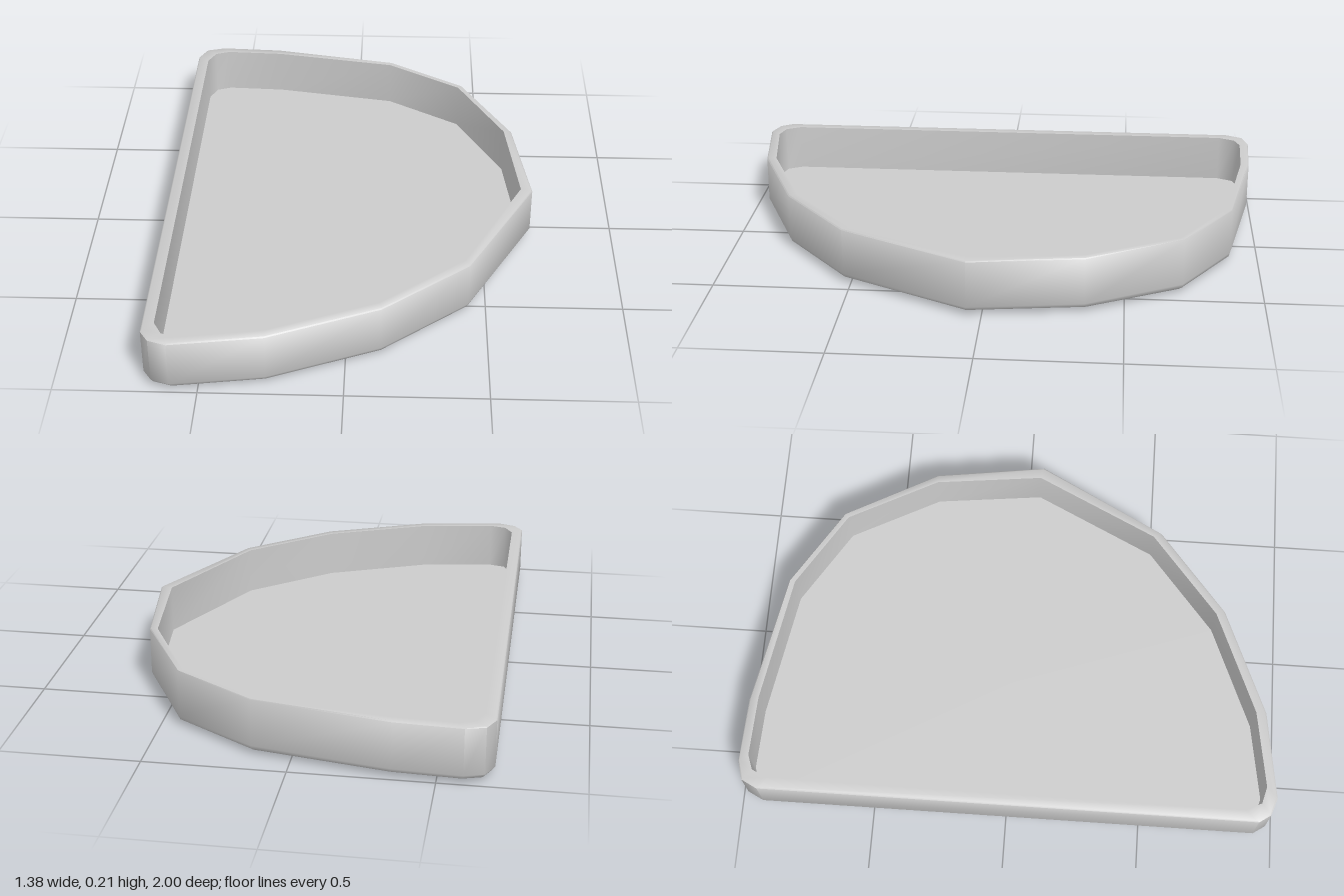
import * as THREE from 'three';
import { toCreasedNormals } from 'three/addons/utils/BufferGeometryUtils.js';

// Plan outlines [x, z] of the tray: outer face of the wall and inner face of the wall
const outer = [
  [-0.69, 0.93], [-0.66, 0.975], [-0.595, 0.997], [-0.27, 0.95], [0.125, 0.785],
  [0.435, 0.53], [0.685, 0.055], [0.625, -0.36], [0.435, -0.71], [0.14, -0.895],
  [-0.35, -0.988], [-0.59, -1.0], [-0.66, -0.98], [-0.69, -0.92],
];
const inner = [
  [-0.648, 0.885], [-0.618, 0.94], [-0.555, 0.957], [-0.27, 0.912], [0.115, 0.752],
  [0.42, 0.5], [0.642, 0.045], [0.595, -0.36], [0.42, -0.695], [0.135, -0.873],
  [-0.34, -0.955], [-0.565, -0.965], [-0.62, -0.945], [-0.648, -0.885],
];

// Section of the wall, [inset, y]: inset 0 is the outer outline, 1 the inner one
const section = [
  [2.2, 0], [0.85, 0.01], [0.2, 0.02], [0, 0.034],  // rounded lower edge
  [0, 0.206], [0.12, 0.21],                         // outer wall and softened lip
  [1, 0.21], [1, 0.03],                             // rim and inner wall
];

// Joins one ring per section point, then closes underside and floor with fans
function trayGeometry() {
  const n = outer.length;
  const pos = [];
  const index = [];
  for (const [t, y] of section) {
    outer.forEach(([x, z], i) => {
      pos.push(x + (inner[i][0] - x) * t, y, z + (inner[i][1] - z) * t);
    });
  }
  const last = (section.length - 1) * n;
  const under = section.length * n;
  pos.push(-0.15, 0, 0, -0.15, 0.03, 0);

  for (let i = 0; i < n; i++) {
    const j = (i + 1) % n;
    for (let k = 0; k < last; k += n) {
      index.push(k + i, k + j, k + n + j, k + i, k + n + j, k + n + i);
    }
    index.push(under, j, i);
    index.push(under + 1, last + i, last + j);
  }

  const geometry = new THREE.BufferGeometry();
  geometry.setAttribute('position', new THREE.Float32BufferAttribute(pos, 3));
  geometry.setIndex(index);
  return toCreasedNormals(geometry, 0.95);
}

export function createModel() {
  const group = new THREE.Group();
  group.name = 'halfRoundTray';
  const tray = new THREE.Mesh(trayGeometry(), new THREE.MeshStandardMaterial({ color: 0xcccccc }));
  tray.name = 'tray';
  group.add(tray);
  return group;
}
